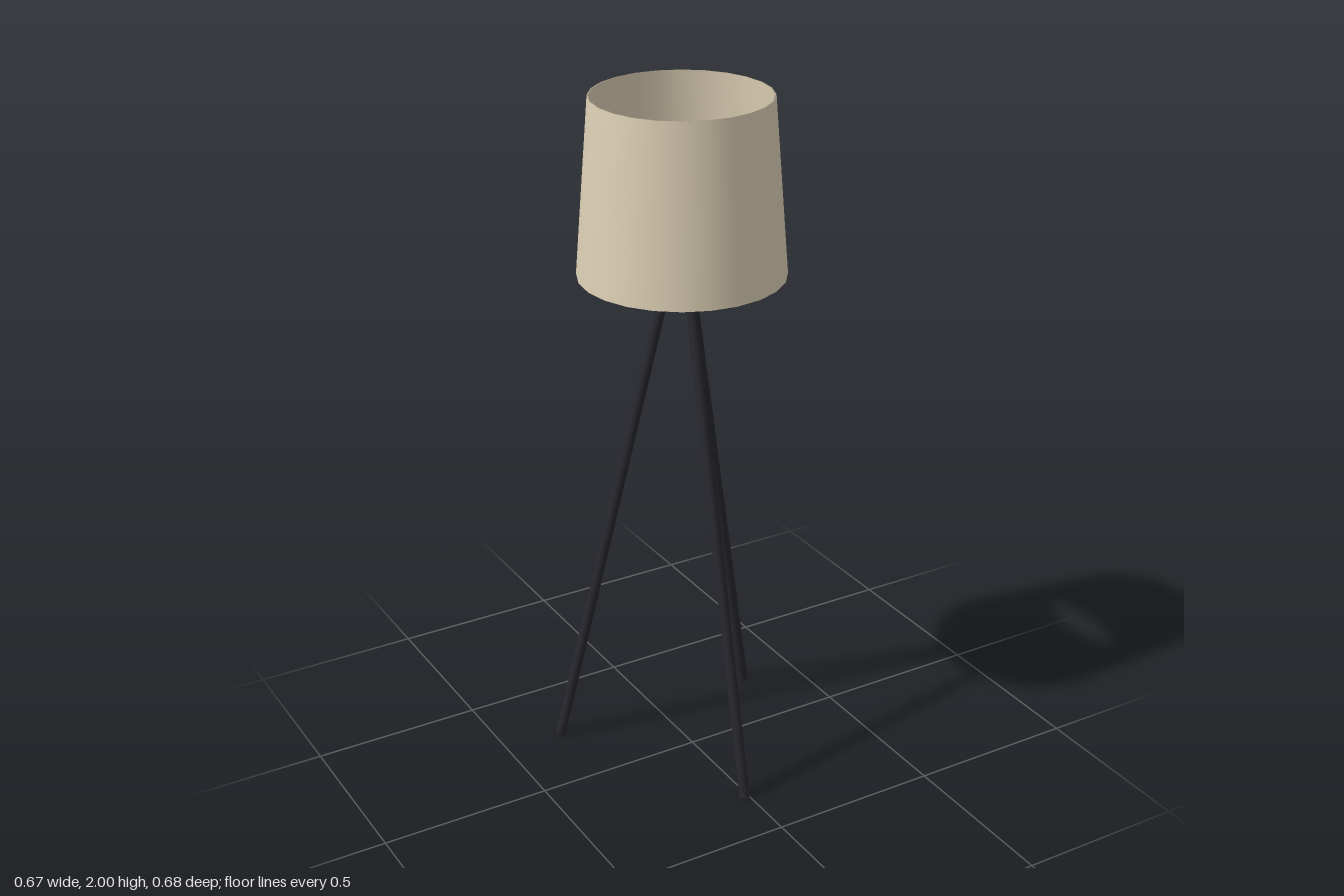
import * as THREE from 'three';

export function createModel() {
  const model = new THREE.Group();
  model.name = 'tripodLamp';

  const fabric = new THREE.MeshStandardMaterial({ color: 0xdccfb4 });
  fabric.name = 'cream fabric';
  const wood = new THREE.MeshStandardMaterial({ color: 0x27272e });
  wood.name = 'dark wood';

  // Thin-walled tapered shade, open at both ends; the profile closes halfway up the inner wall
  const wall = 0.003;
  const profile = [
    [0.27 - wall, 1.75],
    [0.29 - wall, 1.5],
    [0.29, 1.5],
    [0.25, 2],
    [0.25 - wall, 2],
    [0.27 - wall, 1.75],
  ].map(([r, y]) => new THREE.Vector2(r, y));
  const shade = new THREE.Mesh(new THREE.LatheGeometry(profile, 24), fabric);
  shade.name = 'shade';
  shade.position.set(-0.005, 0, -0.048);
  model.add(shade);

  // Round leg running between two points
  const up = new THREE.Vector3(0, 1, 0);
  function addLeg(name, foot, top) {
    const a = new THREE.Vector3(...foot);
    const b = new THREE.Vector3(...top);
    const axis = b.clone().sub(a);
    const leg = new THREE.Mesh(new THREE.CylinderGeometry(0.015, 0.015, axis.length(), 16), wood);
    leg.name = name;
    leg.position.copy(a).add(b).multiplyScalar(0.5);
    leg.quaternion.setFromUnitVectors(up, axis.normalize());
    model.add(leg);
  }

  // Three splayed legs
  addLeg('frontLeg', [-0.015, 0.004, 0.323], [-0.006, 1.54, -0.022]);
  addLeg('backRightLeg', [-0.323, 0.004, -0.243], [-0.028, 1.54, -0.062]);
  addLeg('backLeftLeg', [0.321, 0.004, -0.228], [0.018, 1.54, -0.062]);

  return model;
}
